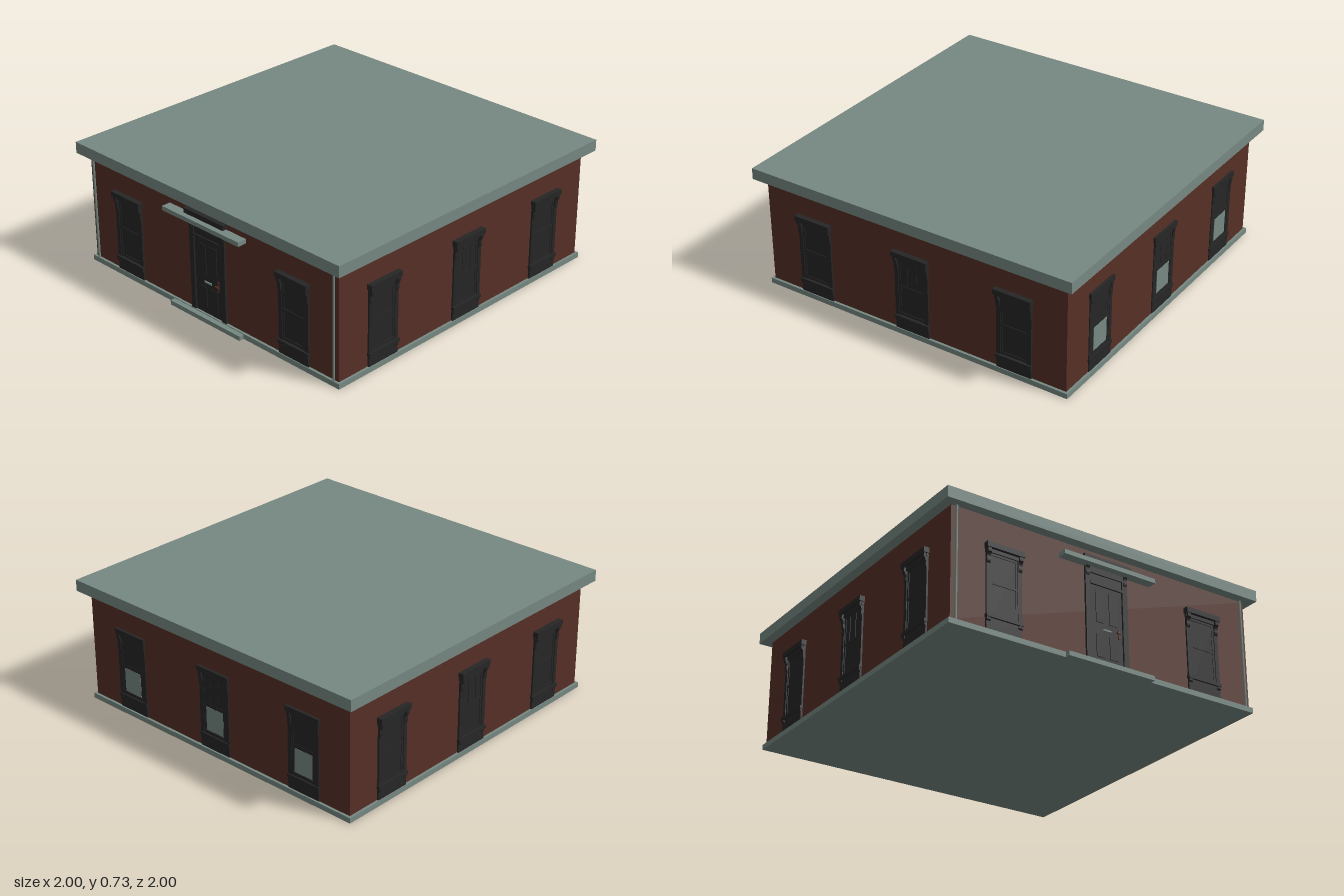
import * as THREE from 'three';

const mat = (name, color) => {
  const m = new THREE.MeshStandardMaterial({ color });
  m.name = name;
  return m;
};

export function createModel() {
  const stone = mat('grey green stone', 0x768881);
  const brick = mat('brick brown', 0x552f25);
  const iron = mat('dark trim', 0x262626);
  const WALL = 0.945;

  // Box given by its lower and upper corners
  const box = (parent, name, m, [x0, y0, z0], [x1, y1, z1]) => {
    const mesh = new THREE.Mesh(new THREE.BoxGeometry(x1 - x0, y1 - y0, z1 - z0), m);
    mesh.position.set((x0 + x1) / 2, (y0 + y1) / 2, (z0 + z1) / 2);
    mesh.name = name;
    parent.add(mesh);
    return mesh;
  };

  // Scrolled bracket under a cornice: side profile extruded across x
  const bracket = (parent, x, top, height, depth) => {
    const s = new THREE.Shape();
    s.moveTo(0, 0);
    s.lineTo(depth, 0);
    s.lineTo(depth, -height * 0.25);
    s.quadraticCurveTo(depth * 0.45, -height * 0.4, depth * 0.6, -height * 0.7);
    s.quadraticCurveTo(depth * 0.6, -height, 0, -height);
    const w = 0.022;
    const g = new THREE.ExtrudeGeometry(s, { depth: w, bevelEnabled: false, curveSegments: 5 });
    g.rotateY(-Math.PI / 2); // profile depth now points to +z
    const mesh = new THREE.Mesh(g, iron);
    mesh.position.set(x + w / 2, top, 0);
    mesh.name = 'bracket';
    parent.add(mesh);
  };

  // Window facing +z with the wall plane at z = 0
  const makeWindow = (lightPane, mullions) => {
    const w = new THREE.Group();
    w.name = 'window';
    box(w, 'windowPanel', iron, [-0.1, 0.035, -0.01], [0.1, 0.48, 0.003]);
    box(w, 'apron', iron, [-0.105, 0.03, -0.01], [0.105, 0.095, 0.01]);
    box(w, 'sill', iron, [-0.11, 0.095, -0.01], [0.11, 0.112, 0.02]);
    box(w, 'head', iron, [-0.108, 0.455, -0.01], [0.108, 0.48, 0.014]);
    box(w, 'cornice', iron, [-0.113, 0.475, -0.01], [0.113, 0.505, 0.031]);
    for (const s of [-1, 1]) {
      box(w, 'casing', iron, [s * 0.094 - 0.012, 0.11, -0.01], [s * 0.094 + 0.012, 0.46, 0.01]);
      box(w, 'sashStile', iron, [s * 0.076 - 0.007, 0.11, -0.01], [s * 0.076 + 0.007, 0.46, 0.006]);
      bracket(w, s * 0.095, 0.475, 0.085, 0.026);
      bracket(w, s * 0.095, 0.095, 0.05, 0.015);
      if (mullions) box(w, 'mullion', iron, [s * 0.03 - 0.004, 0.29, 0], [s * 0.03 + 0.004, 0.46, 0.006]);
    }
    for (const y of [0.118, 0.285, 0.443]) {
      box(w, 'sashRail', iron, [-0.082, y, -0.01], [0.082, y + 0.012, 0.007]);
    }
    if (lightPane) box(w, 'lowerPane', stone, [-0.062, 0.135, 0.002], [0.062, 0.275, 0.006]);
    return w;
  };

  const house = new THREE.Group();
  house.name = 'house';

  // Slab, step, walls and flat roof
  box(house, 'baseSlab', stone, [-0.96, 0, -0.96], [0.96, 0.03, 0.96]);
  box(house, 'frontStep', stone, [-0.27, 0, 0.94], [0.27, 0.026, 0.99]);
  box(house, 'walls', brick, [-WALL, 0.03, -WALL], [WALL, 0.66, WALL]);
  box(house, 'roof', stone, [-1, 0.66, -1], [1, 0.725, 1]);

  // Drain pipes at the front corners
  for (const s of [-1, 1]) {
    const pipe = new THREE.Mesh(new THREE.CylinderGeometry(0.007, 0.007, 0.63, 10), stone);
    pipe.position.set(s * 0.917, 0.345, 0.953);
    pipe.name = 'drainPipe';
    house.add(pipe);
  }

  // Windows: three on the sides and back, two beside the front door
  [0, 1, 2, 3].forEach((side) => {
    const wall = new THREE.Group();
    wall.name = ['frontWindows', 'leftWindows', 'backWindows', 'rightWindows'][side];
    wall.rotation.y = side * Math.PI / 2;
    for (const x of [-0.635, 0, 0.635]) {
      if (side === 0 && x === 0) continue;
      const w = makeWindow(side === 2, x === 0);
      w.position.set(x, 0, WALL);
      if (side === 2) w.scale.z = 0.5;
      wall.add(w);
    }
    house.add(wall);
  });

  // Front door with transom, frieze and cornice
  const door = new THREE.Group();
  door.name = 'frontDoor';
  door.position.z = WALL;
  box(door, 'doorLeaf', iron, [-0.1, 0.03, -0.01], [0.1, 0.475, 0.004]);
  box(door, 'transom', iron, [-0.1, 0.475, -0.01], [0.1, 0.54, 0.006]);
  box(door, 'transomBar', iron, [-0.105, 0.468, -0.01], [0.105, 0.482, 0.013]);
  box(door, 'frieze', iron, [-0.135, 0.53, -0.01], [0.135, 0.595, 0.014]);
  box(door, 'cornice', iron, [-0.15, 0.592, -0.01], [0.15, 0.62, 0.031]);
  for (const s of [-1, 1]) {
    box(door, 'doorCasing', iron, [s * 0.118 - 0.016, 0.03, -0.01], [s * 0.118 + 0.016, 0.54, 0.012]);
    bracket(door, s * 0.12, 0.592, 0.09, 0.026);
    for (const [y0, y1] of [[0.065, 0.19], [0.26, 0.44]]) {
      box(door, 'doorPanel', iron, [s * 0.042 - 0.026, y0, 0], [s * 0.042 + 0.026, y1, 0.008]);
    }
  }
  box(door, 'mailSlot', stone, [-0.028, 0.217, 0], [0.025, 0.226, 0.012]);
  box(door, 'handlePlate', brick, [0.072, 0.195, 0], [0.082, 0.255, 0.009]);
  box(door, 'handleGrip', brick, [0.06, 0.222, 0.008], [0.082, 0.23, 0.018]);
  house.add(door);

  // Canopy over the door
  box(house, 'canopy', stone, [-0.293, 0.562, 0.945], [0.29, 0.587, 1]);

  return house;
}
